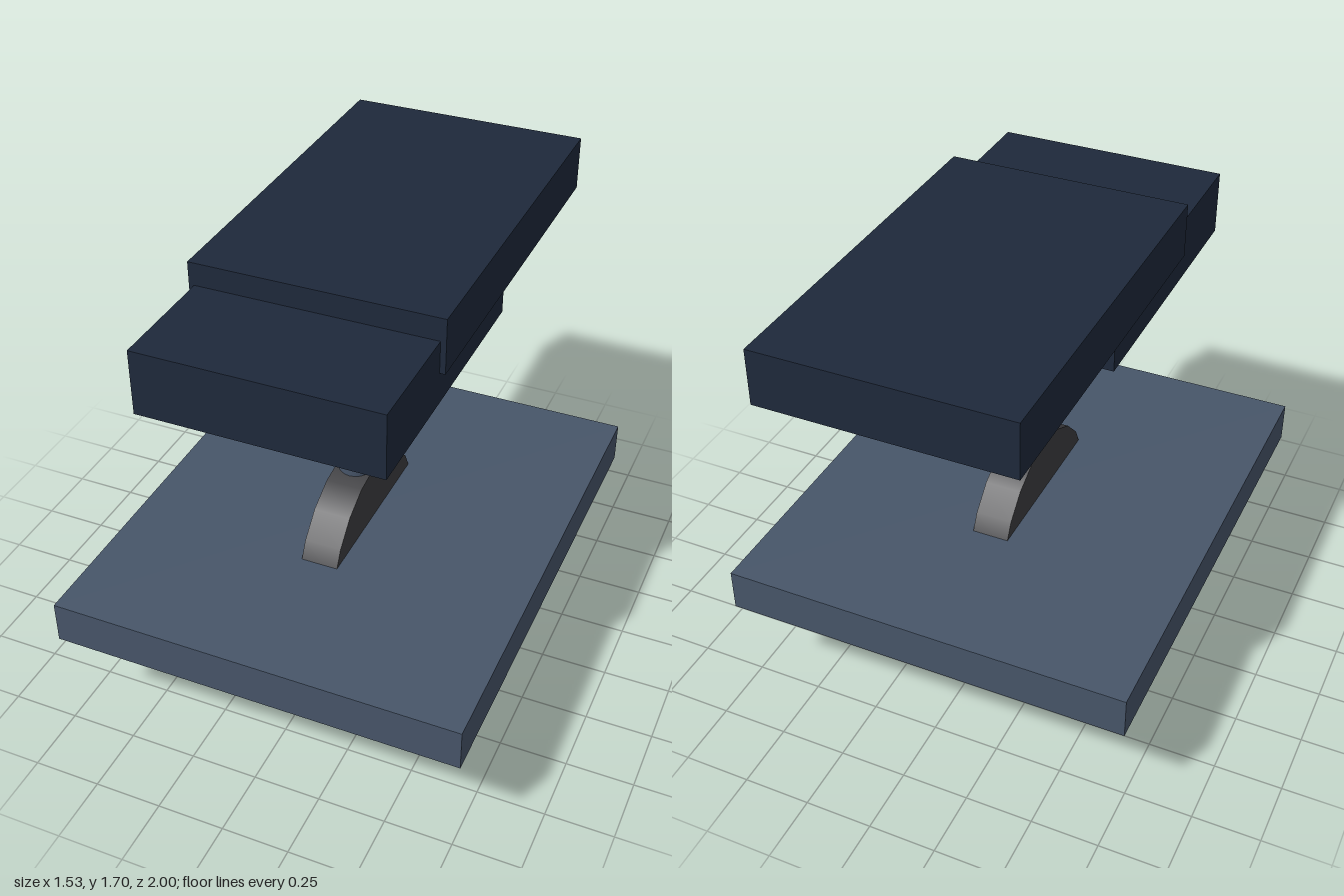
import * as THREE from 'three';

const mat = (color) => new THREE.MeshStandardMaterial({ color });

export function createModel() {
  const group = new THREE.Group();
  const slab = mat(0x1e293b), steel = mat(0x475569), dark = mat(0x334155), rubber = mat(0x3d3d40);

  const add = (name, geometry, material, y, z) => {
    const mesh = new THREE.Mesh(geometry, material);
    mesh.name = name;
    mesh.position.set(0, y, z);
    group.add(mesh);
    return mesh;
  };
  // Box centred on x, given its width and its y and z ranges
  const box = (name, material, w, y0, y1, z0, z1) =>
    add(name, new THREE.BoxGeometry(w, y1 - y0, z1 - z0), material, (y0 + y1) / 2, (z0 + z1) / 2);

  // Deck with the axle block beneath it
  box('deck', steel, 1.53, 0.39, 0.55, -0.835, 1);
  box('axleBlock', dark, 1.3, 0.29, 0.48, -0.12, 0.29);

  // Twenty-sided wheel passing through the deck
  const wheel = new THREE.CylinderGeometry(0.385, 0.385, 0.14, 20).rotateZ(Math.PI / 2);
  add('wheel', wheel, rubber, 0.387, 0.085);

  // Post from the wheel up to the upper slabs
  add('post', new THREE.CylinderGeometry(0.07, 0.07, 0.66, 20), steel, 1.09, 0.085);

  // Two overlapping upper slabs
  box('frontSlab', slab, 0.875, 1.375, 1.615, -0.2, 0.86);
  box('rearSlab', slab, 0.915, 1.495, 1.7, -1, 0.425);

  return group;
}
